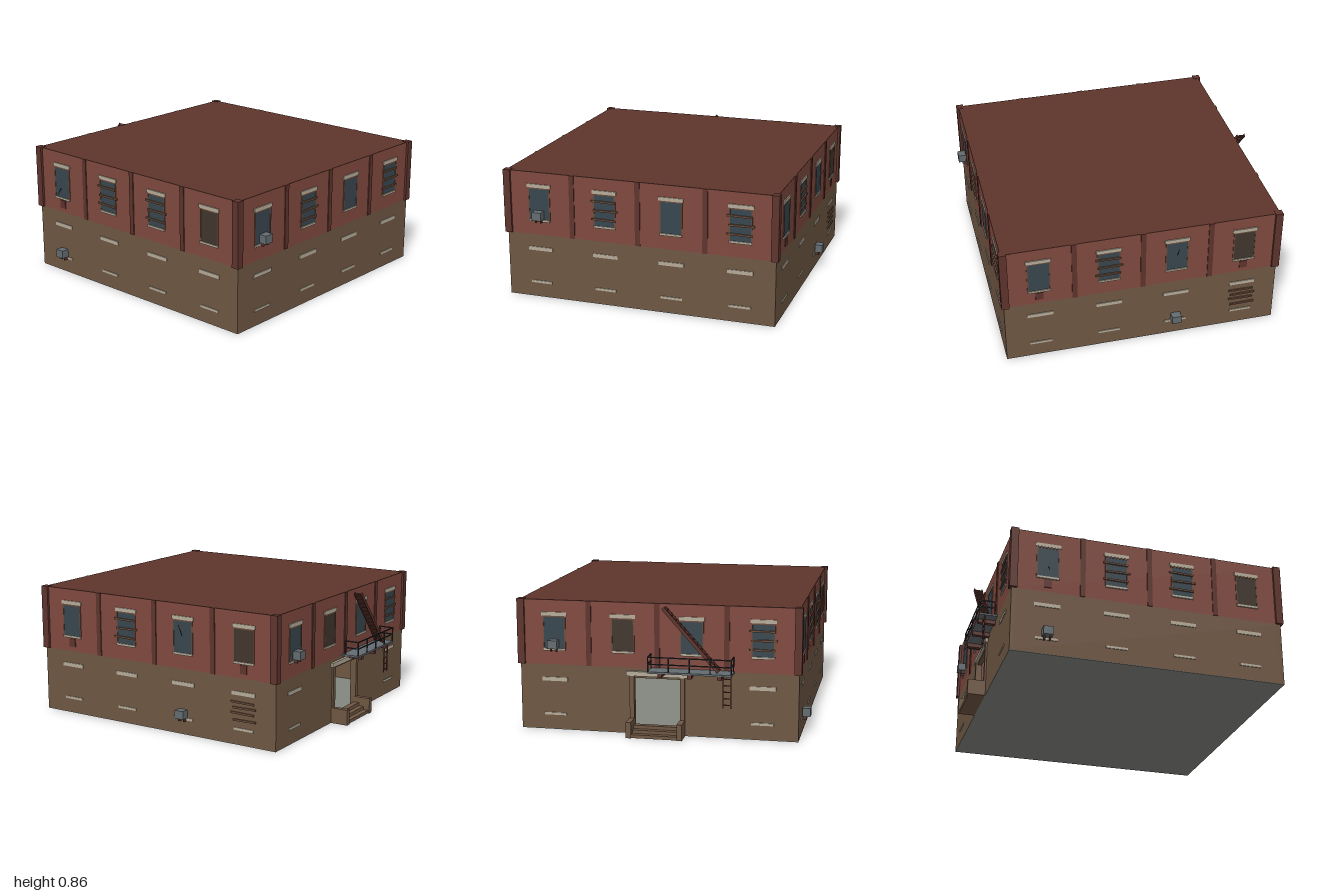
import * as THREE from 'three';

const mat = (name, color) => {
  const m = new THREE.MeshStandardMaterial({ color });
  m.name = name;
  return m;
};

export function createModel() {
  const M = {
    brick: mat('red brick', 0x80493f),
    trim: mat('dark red trim', 0x5e342c),
    stone: mat('brown stone', 0x6f5743),
    lintel: mat('pale lintel', 0xb5ab99),
    glass: mat('window glass', 0x38464e),
    boarded: mat('boarded window', 0x41362d),
    wood: mat('wood', 0x6b4d3b),
    metal: mat('grey metal', 0x646c71),
    floor: mat('floor grey', 0x84867f),
    dark: mat('dark iron', 0x2c2e33),
  };

  // box given by its minimum and maximum on each axis
  const box = (parent, name, m, x0, x1, y0, y1, z0, z1) => {
    const mesh = new THREE.Mesh(new THREE.BoxGeometry(x1 - x0, y1 - y0, z1 - z0), m);
    mesh.position.set((x0 + x1) / 2, (y0 + y1) / 2, (z0 + z1) / 2);
    mesh.name = name;
    parent.add(mesh);
    return mesh;
  };
  // square bar between two points
  const bar = (parent, name, m, a, b, w = 0.007, d = w) => {
    const p = new THREE.Vector3(...a), q = new THREE.Vector3(...b);
    const mesh = new THREE.Mesh(new THREE.BoxGeometry(w, p.distanceTo(q), d), m);
    mesh.position.copy(p).add(q).multiplyScalar(0.5);
    mesh.quaternion.setFromUnitVectors(new THREE.Vector3(0, 1, 0), q.clone().sub(p).normalize());
    mesh.name = name;
    parent.add(mesh);
    return mesh;
  };
  const group = (parent, name) => {
    const g = new THREE.Group();
    g.name = name;
    parent.add(g);
    return g;
  };

  const model = new THREE.Group();
  model.name = 'brickBuilding';
  const X = 0.91, ZF = 0.945, ZB = -0.88, ZC = (ZF + ZB) / 2;
  const SPLIT = 0.435, TOP = 0.86, T = 0.03;
  const columns = [-0.68, -0.225, 0.225, 0.68];

  // wall fittings, in wall space: x along the wall, z outward from its face
  const airConditioner = (wall, u, y) => {
    const g = group(wall, 'airConditioner');
    box(g, 'airConditionerCase', M.metal, u - 0.032, u + 0.032, y, y + 0.055, 0.003, 0.055);
    for (const s of [-1, 1])
      box(g, 'airConditionerBracket', M.trim, u + s * 0.018 - 0.004, u + s * 0.018 + 0.004, y - 0.022, y, 0, 0.03);
  };
  const planks = (wall, u, ys) => ys.forEach((y, i) => {
    const s = i % 2 ? 0.008 : -0.006;
    const p = box(wall, 'plank', M.wood, u - 0.083 + s, u + 0.083 + s, y - 0.006, y + 0.006, 0.003, 0.012);
    p.rotation.z = (i % 2 ? 1 : -1) * 0.015;
  });
  const upperWindow = (wall, u, kind) => {
    const g = group(wall, 'upperWindow');
    box(g, 'windowPane', kind.includes('dark') ? M.boarded : M.glass, u - 0.07, u + 0.07, 0.538, 0.752, 0, 0.003);
    for (const s of [-1, 1])
      box(g, 'windowFrameSide', M.wood, u + s * 0.072 - 0.004, u + s * 0.072 + 0.004, 0.538, 0.755, 0, 0.005);
    box(g, 'windowFrameTop', M.wood, u - 0.076, u + 0.076, 0.748, 0.756, 0, 0.005);
    box(g, 'windowLintel', M.lintel, u - 0.083, u + 0.083, 0.756, 0.78, 0, 0.007);
    box(g, 'windowSill', M.lintel, u - 0.074, u + 0.074, 0.527, 0.541, 0, 0.009);
    if (kind.includes('planks')) planks(g, u, [0.705, 0.645, 0.585]);
    if (kind.includes('vent')) box(g, 'vent', M.trim, u - 0.025, u + 0.025, 0.465, 0.52, 0, 0.006);
    if (kind.includes('unit')) airConditioner(g, u, 0.547);
    if (kind.includes('shut')) bar(g, 'shutterStay', M.dark, [u, 0.655, 0.012], [u, 0.73, 0.048], 0.003);
    if (kind.includes('rod')) bar(g, 'rod', M.dark, [u, 0.61, 0.015], [u, 0.57, 0.045], 0.003);
  };
  const lowerWindow = (wall, u) => {
    box(wall, 'lowerLintel', M.lintel, u - 0.085, u + 0.085, 0.325, 0.35, 0, 0.005);
    box(wall, 'lowerSill', M.lintel, u - 0.073, u + 0.073, 0.097, 0.113, 0, 0.005);
  };

  // four walls, each built facing +z and turned into place
  const walls = [
    { name: 'frontWall', pos: [0, 0, ZF], turn: 0, w: X, kinds: ['unit', 'planks', 'plain', 'planks'] },
    { name: 'rightWall', pos: [X, 0, ZC], turn: Math.PI / 2, w: (ZF - ZB) / 2, kinds: ['vent', 'planks', 'shut', 'dark vent'], unit: 0.225, boards: 0.68 },
    { name: 'backWall', pos: [0, 0, ZB], turn: Math.PI, w: X, kinds: ['unit', 'dark', 'plain', 'planks'], door: true },
    { name: 'leftWall', pos: [-X, 0, ZC], turn: -Math.PI / 2, w: (ZF - ZB) / 2, kinds: ['vent rod', 'planks', 'planks', 'dark'], unit: -0.68 },
  ];
  for (const d of walls) {
    const wall = group(model, d.name);
    wall.position.set(...d.pos);
    wall.rotation.y = d.turn;
    if (d.door) {
      box(wall, 'lowerWall', M.stone, -d.w, -0.15, 0.004, SPLIT, -T, 0);
      box(wall, 'lowerWall', M.stone, 0.15, d.w, 0.004, SPLIT, -T, 0);
      box(wall, 'doorHeader', M.stone, -0.15, 0.15, 0.37, SPLIT, -T, 0);
    } else box(wall, 'lowerWall', M.stone, -d.w, d.w, 0.004, SPLIT, -T, 0);
    box(wall, 'upperWall', M.brick, -d.w, d.w, SPLIT, TOP - 0.004, -T, 0);
    for (const u of [-0.45, 0, 0.45])
      box(wall, 'pilaster', M.trim, u - 0.017, u + 0.017, SPLIT, TOP, 0, 0.006);
    columns.forEach((u, i) => {
      upperWindow(wall, u, d.kinds[i]);
      if (!d.door || Math.abs(u) > 0.5) lowerWindow(wall, u);
    });
    if (d.unit) airConditioner(wall, d.unit, 0.115);
    if (d.boards) planks(wall, d.boards, [0.28, 0.245, 0.21, 0.165]);
  }

  // corner posts, roof and floor
  for (const sx of [-1, 1])
    for (const z of [ZF - 0.01, ZB + 0.01])
      box(model, 'cornerPost', M.trim, sx * 0.902 - 0.024, sx * 0.902 + 0.024, SPLIT, TOP + 0.003, z - 0.025, z + 0.025);
  box(model, 'roof', M.trim, -X, X, TOP - 0.004, TOP, ZB, ZF);
  box(model, 'floor', M.floor, -X, X, 0, 0.004, ZB, ZF);

  // doorway with stoop
  const entrance = group(model, 'entrance');
  box(entrance, 'doorLintel', M.lintel, -0.2, 0.2, 0.385, 0.415, ZB - 0.018, ZB);
  for (const s of [-1, 1]) {
    const x = s * 0.165;
    box(entrance, 'doorJamb', M.stone, x - 0.015, x + 0.015, 0, 0.385, ZB - 0.012, ZB);
    box(entrance, 'stoopSide', M.stone, x - 0.017, x + 0.017, 0, 0.105, -0.999, ZB);
  }
  for (let i = 0; i < 3; i++)
    box(entrance, 'step', M.stone, -0.15, 0.15, i * 0.022, (i + 1) * 0.022, -0.99 + i * 0.035, ZB);

  // fire escape: platform, railing, stair and drop ladder
  const escape = group(model, 'fireEscape');
  const P0 = -0.5, P1 = 0.04, ZO = -0.996;
  box(escape, 'platform', M.metal, P0, P1, 0.43, 0.442, -1, ZB);
  for (const x of [-0.42, -0.23, -0.04])
    box(escape, 'platformBracket', M.trim, x - 0.014, x + 0.014, 0.404, 0.43, -0.993, ZB);
  for (const y of [0.49, 0.535]) {
    bar(escape, 'rail', M.dark, [P0, y, ZO], [P1, y, ZO]);
    for (const x of [P0 + 0.004, P1 - 0.004])
      bar(escape, 'endRail', M.dark, [x, y, ZO], [x, y, -0.9]);
  }
  for (let i = 0; i <= 4; i++) {
    const x = P0 + 0.004 + (i / 4) * (P1 - P0 - 0.008);
    bar(escape, 'railPost', M.dark, [x, 0.44, ZO], [x, 0.538, ZO]);
    if (i % 4 === 0) bar(escape, 'railPost', M.dark, [x, 0.44, -0.9], [x, 0.538, -0.9]);
  }
  const foot = [-0.41, 0.45], head = [-0.055, 0.845];
  for (const z of [-0.914, -0.966])
    bar(escape, 'stairStringer', M.trim, [...foot, z], [...head, z], 0.022, 0.006);
  for (let i = 0; i < 13; i++) {
    const t = (i + 0.5) / 13;
    const x = foot[0] + t * (head[0] - foot[0]), y = foot[1] + t * (head[1] - foot[1]);
    box(escape, 'stairTread', M.trim, x - 0.014, x + 0.014, y - 0.003, y + 0.003, -0.963, -0.917);
  }
  bar(escape, 'stairBack', M.trim, [...foot, -0.94], [...head, -0.94], 0.004, 0.048);
  for (const x of [-0.49, -0.44])
    bar(escape, 'ladderRail', M.trim, [x, 0.22, -0.962], [x, 0.435, -0.962]);
  for (let i = 0; i < 5; i++)
    bar(escape, 'ladderRung', M.trim, [-0.49, 0.24 + i * 0.042, -0.962], [-0.44, 0.24 + i * 0.042, -0.962], 0.006);

  return model;
}
